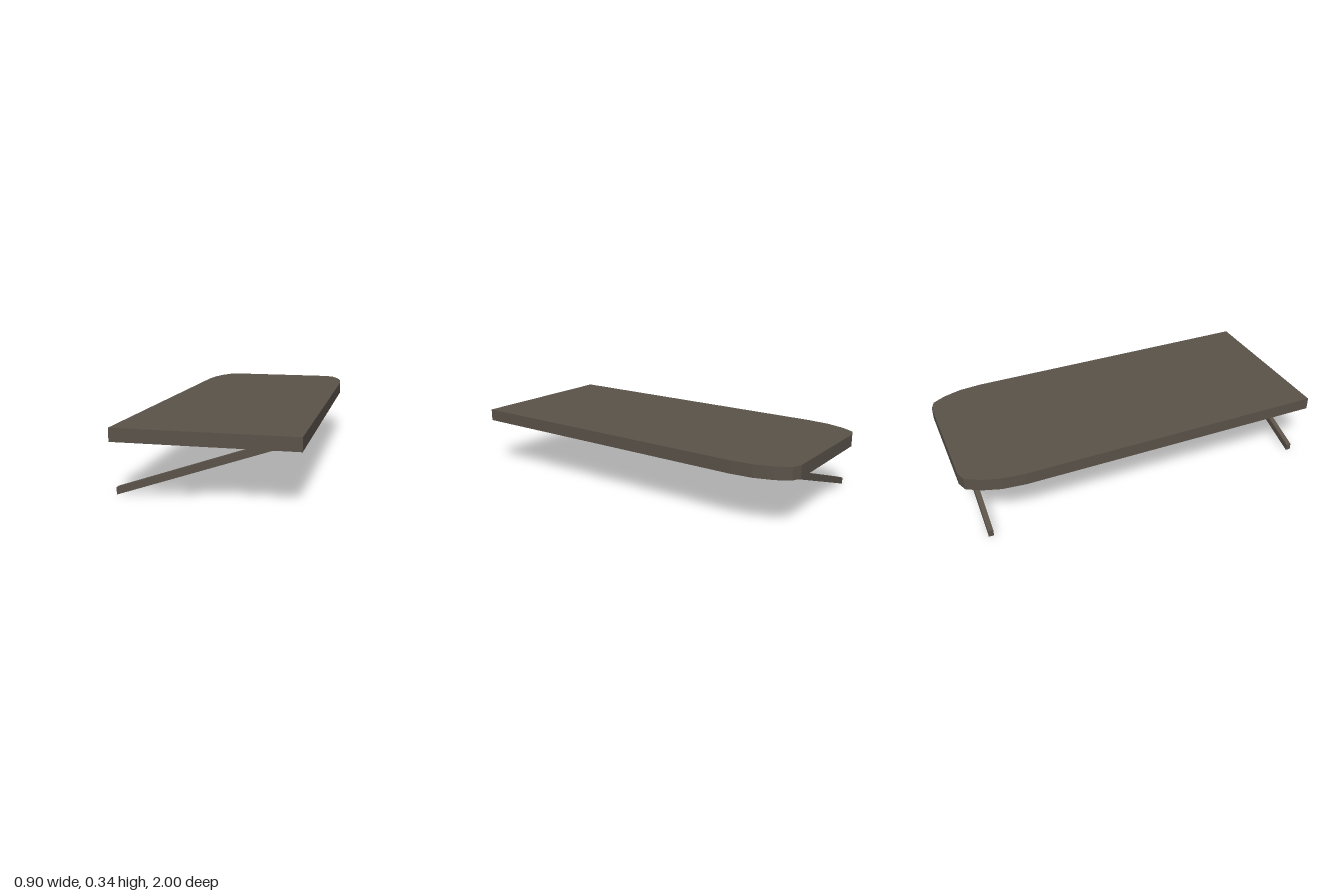
import * as THREE from 'three';

export function createModel() {
  const group = new THREE.Group();
  const wood = new THREE.MeshStandardMaterial({ color: 0x5b534a });
  wood.name = 'dark weathered wood';

  // extruded flat outline with sharp edges
  const extrude = (points, depth) => new THREE.ExtrudeGeometry(
    new THREE.Shape(points.map(([x, y]) => new THREE.Vector2(x, y))),
    { depth, bevelEnabled: false });

  const add = (name, geometry) => {
    const mesh = new THREE.Mesh(geometry, wood);
    mesh.name = name;
    group.add(mesh);
    return mesh;
  };

  // Board: square front end, faceted rounded corners at the back
  const top = 0.342, bottom = 0.275;
  const corner = [[0.452, -0.69], [0.44, -0.81], [0.408, -0.91], [0.367, -0.98], [0.315, -1]];
  const outline = [
    [-0.452, 1], [0.452, 1],
    ...corner,
    ...corner.map(([x, z]) => [-x, z]).reverse(),
  ];
  const board = add('board', extrude(outline, top - bottom).rotateX(Math.PI / 2));
  board.position.y = top;

  // Slanted braces: upright cut at the wall end, flush with the board's underside
  const brace = [[-0.452, 0], [0.36, bottom], [0.243, bottom], [-0.452, 0.037]];
  for (const [name, z] of [['frontBrace', 0.918], ['backBrace', -0.9]]) {
    add(name, extrude(brace, 0.027)).position.z = z - 0.0135;
  }

  return group;
}
